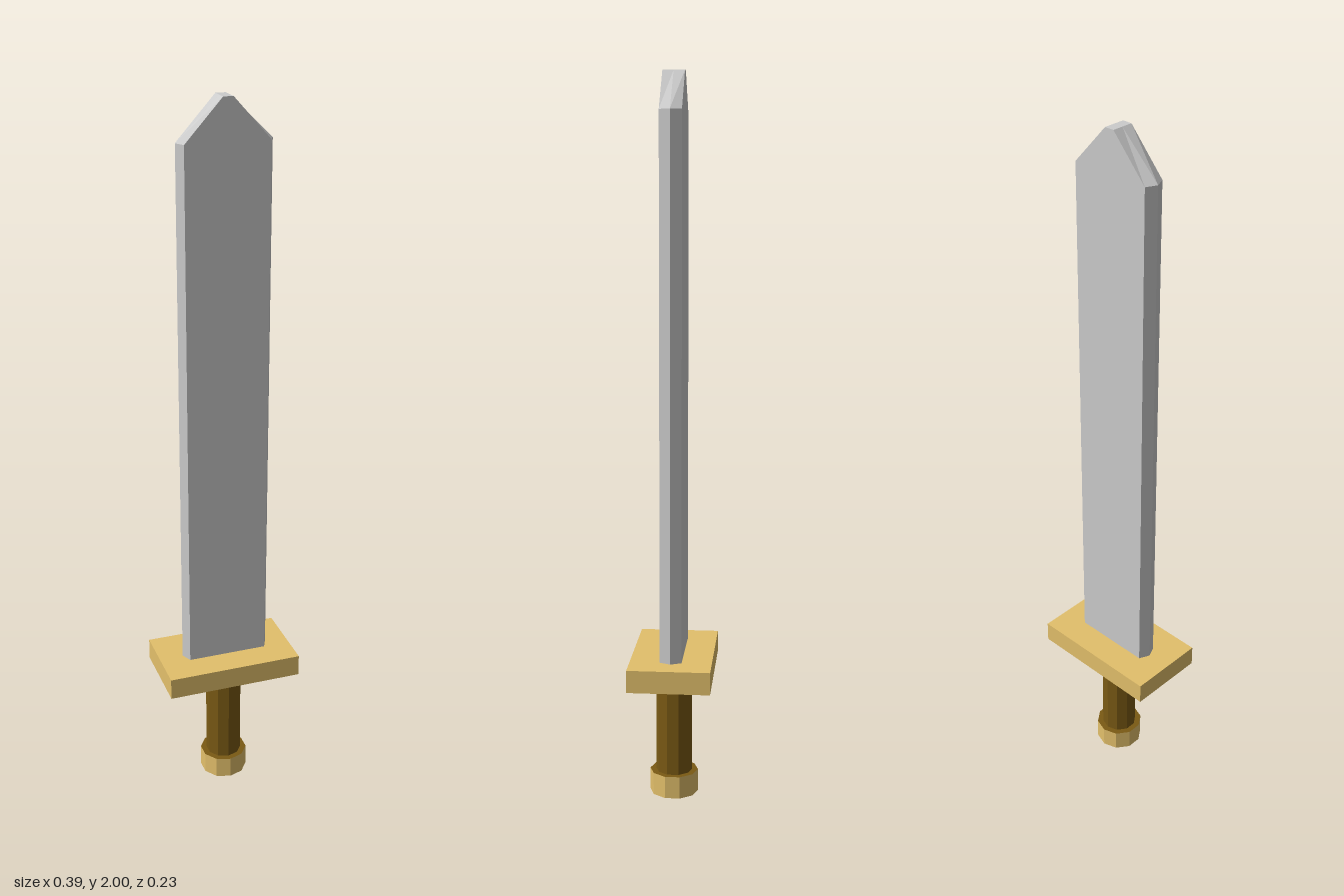
import * as THREE from 'three';

const mat = (color) => new THREE.MeshStandardMaterial({ color, flatShading: true });

// Lofts rings of [x, y, z] points (counter-clockwise from above) and caps both ends
function loft(rings) {
  const pos = [];
  const tri = (...pts) => pts.forEach((p) => pos.push(...p));
  const n = rings[0].length;
  for (let r = 0; r < rings.length - 1; r++) {
    const lo = rings[r], hi = rings[r + 1];
    for (let i = 0; i < n; i++) {
      const j = (i + 1) % n;
      tri(lo[i], lo[j], hi[j]);
      tri(lo[i], hi[j], hi[i]);
    }
  }
  const bottom = rings[0], top = rings[rings.length - 1];
  for (let i = 1; i < n - 1; i++) {
    tri(top[0], top[i], top[i + 1]);
    tri(bottom[0], bottom[i + 1], bottom[i]);
  }
  const geo = new THREE.BufferGeometry();
  geo.setAttribute('position', new THREE.Float32BufferAttribute(pos, 3));
  geo.computeVertexNormals();
  return geo;
}

export function createModel() {
  const group = new THREE.Group();
  const steel = mat(0xcccccc), gold = mat(0xe3c06b), brown = mat(0x7a5a14);
  const add = (name, geo, material, y = 0, x = 0) => {
    const mesh = new THREE.Mesh(geo, material);
    mesh.name = name;
    mesh.position.set(x, y, 0);
    group.add(mesh);
  };

  // Blade: six-sided section, narrowing above the shoulders to a small flat tip
  const section = (y, edge, flat, z = 0.03) => [
    [edge, y, 0], [flat, y, -z], [-flat, y, -z],
    [-edge, y, 0], [-flat, y, z], [flat, y, z],
  ];
  add('blade', loft([
    section(0.4, 0.128, 0.114),
    section(1.89, 0.128, 0.114),
    section(2, 0.0135, 0.0135),
  ]), steel, 0, 0.003);

  // Guard
  add('guard', new THREE.BoxGeometry(0.388, 0.062, 0.226), gold, 0.383);

  // Ten-sided grip and pommel; the pommel's end faces match the grip
  add('grip', new THREE.CylinderGeometry(0.051, 0.051, 0.3, 10), brown, 0.205);
  add('pommel', new THREE.CylinderGeometry(0.068, 0.068, 0.063, 10), [gold, brown, brown], 0.0315);

  return group;
}
